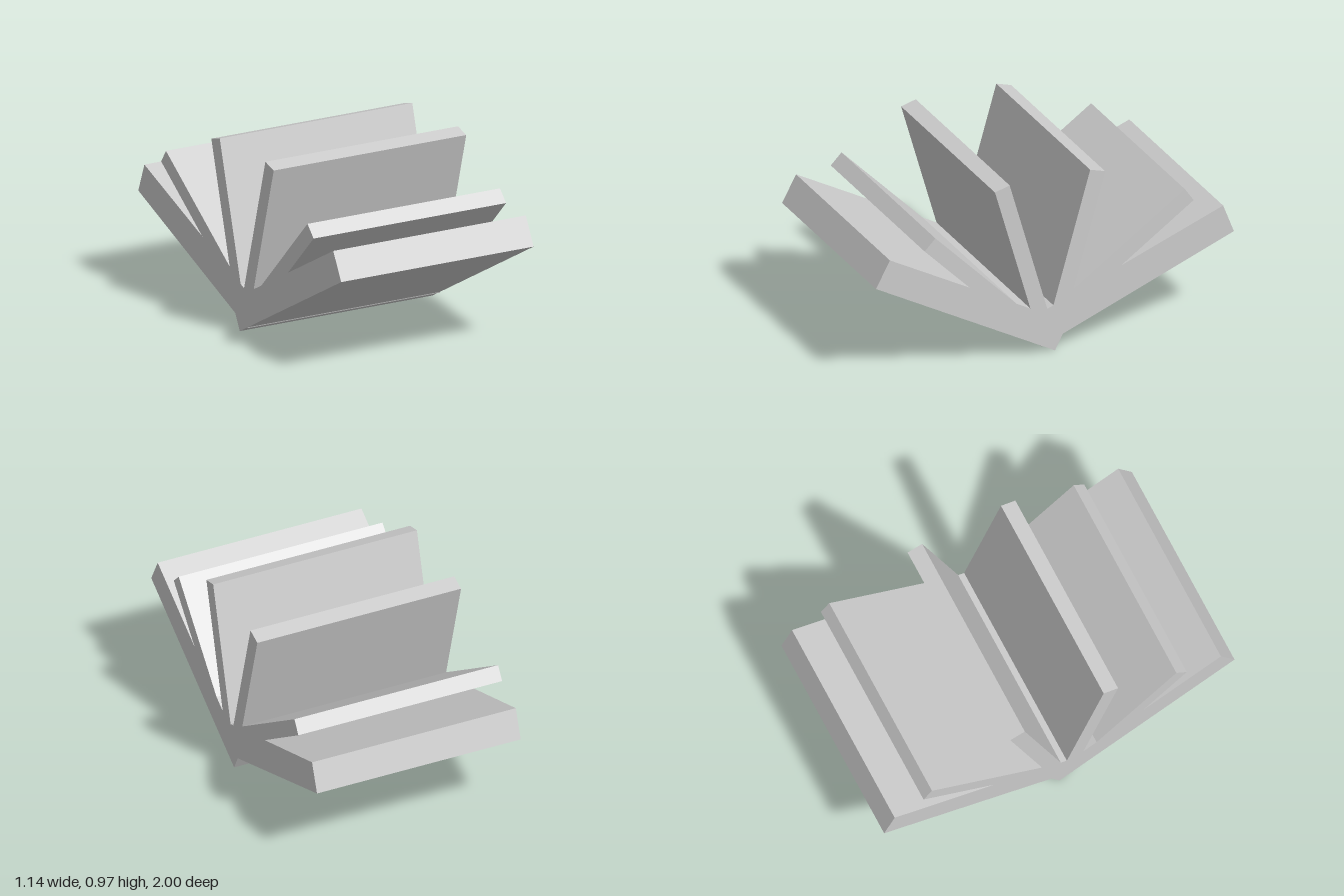
import * as THREE from 'three';

const WIDTH = 1.14;

// Flat slab running across x, from four [z, y] corners of its side profile
function slab(name, corners) {
  const shape = new THREE.Shape(corners.map(([z, y]) => new THREE.Vector2(-z, y)));
  const geometry = new THREE.ExtrudeGeometry(shape, { depth: WIDTH, bevelEnabled: false });
  geometry.translate(0, 0, -WIDTH / 2);
  geometry.rotateY(Math.PI / 2);
  const mesh = new THREE.Mesh(
    geometry,
    new THREE.MeshStandardMaterial({ color: 0xcccccc, flatShading: true })
  );
  mesh.name = name;
  return mesh;
}

export function createModel() {
  const model = new THREE.Group();
  model.name = 'openBook';

  // Thick page blocks, crossing at the spine
  model.add(slab('frontPageBlock', [[1, 0.538], [0.922, 0.683], [-0.077, 0.146], [0, 0]]));
  model.add(slab('backPageBlock', [[-1, 0.473], [-0.94, 0.628], [0.133, 0.205], [0.075, 0.036]]));

  // Thin leaves fanning out, rooted inside the page blocks
  model.add(slab('frontLowLeaf', [[0.728, 0.695], [0.668, 0.757], [0.154, 0.243], [0.21, 0.178]]));
  model.add(slab('frontUprightLeaf', [[0.335, 0.949], [0.253, 0.973], [0.032, 0.203], [0.114, 0.18]]));
  model.add(slab('backUprightLeaf', [[-0.28, 0.949], [-0.197, 0.973], [0.023, 0.203], [-0.06, 0.18]]));
  model.add(slab('backLowLeaf', [[-0.775, 0.691], [-0.727, 0.76], [0.008, 0.241], [-0.04, 0.17]]));

  return model;
}
